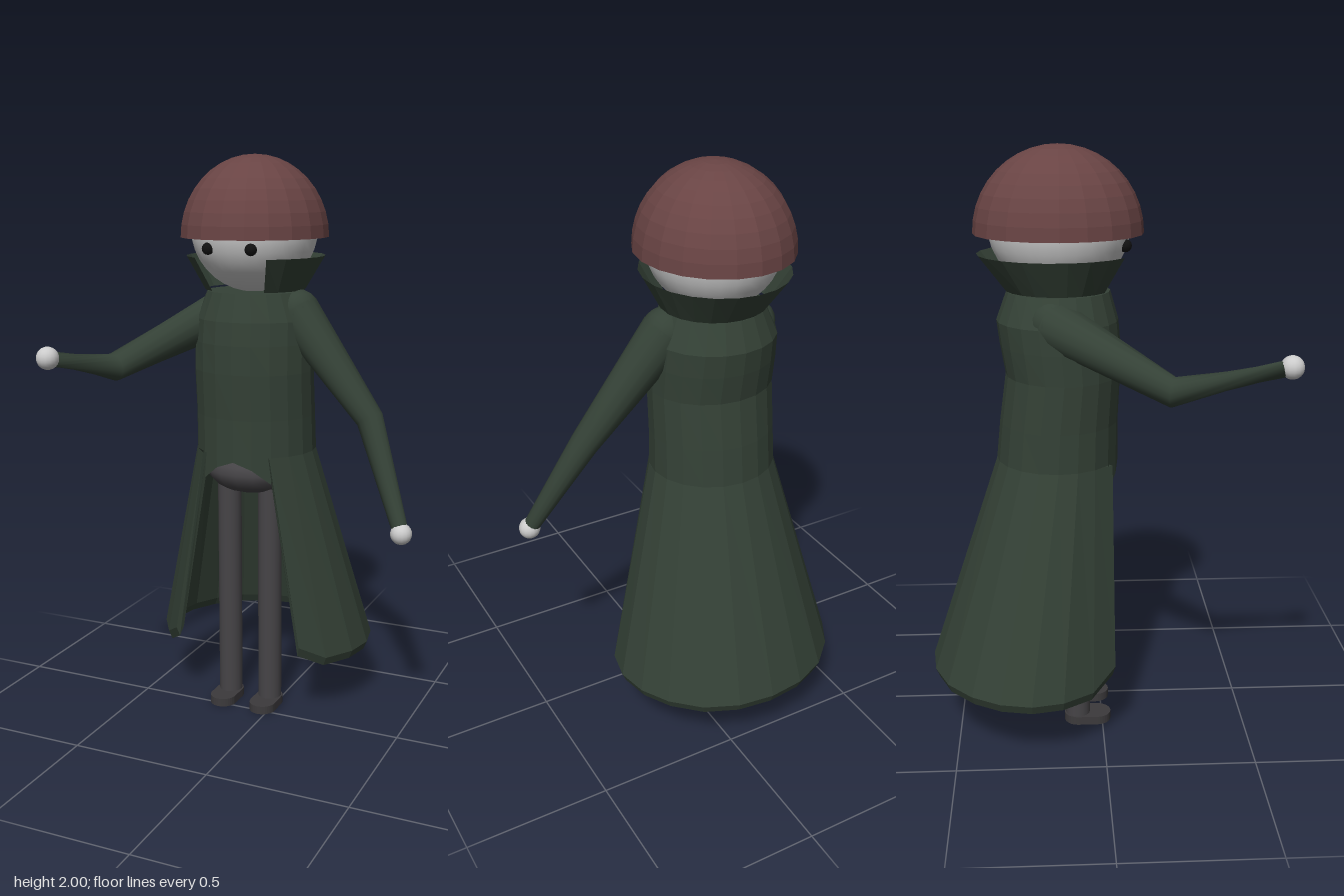
import * as THREE from 'three';

const CX = -0.105; // body axis
const V = (x, y, z) => new THREE.Vector3(x, y, z);
const mat = (color, flatShading = true, side = THREE.FrontSide) =>
  new THREE.MeshStandardMaterial({ color, flatShading, side });

const COAT = 0x344136, SKIN = 0xcccccc;
const coat = mat(COAT, true, THREE.DoubleSide);
const sleeve = mat(COAT, false);
const skin = mat(SKIN, false);
const helmetMat = mat(0x694444, true, THREE.DoubleSide);
const trousers = mat(0x464447, false);
const shoes = mat(0x3c3a3c);
const black = mat(0x111111, false);

// Skin rows of points (top to bottom, each running from +z round to +x)
function loft(rows, closed) {
  const n = rows[0].length, pos = [], idx = [];
  rows.forEach(r => r.forEach(p => pos.push(p.x, p.y, p.z)));
  for (let i = 0; i < rows.length - 1; i++)
    for (let j = 0; j < (closed ? n : n - 1); j++) {
      const k = (j + 1) % n, a = i * n + j, b = a + n, c = (i + 1) * n + k, d = i * n + k;
      idx.push(a, b, c, a, c, d);
    }
  const g = new THREE.BufferGeometry();
  g.setAttribute('position', new THREE.Float32BufferAttribute(pos, 3));
  g.setIndex(idx);
  g.computeVertexNormals();
  return g;
}

// Point on a body ring: half-width rx, front depth zf, back depth zb
const ringPoint = (a, y, rx, zf, zb) =>
  V(CX + rx * Math.sin(a), y, (zf + zb) / 2 + (zf - zb) / 2 * Math.cos(a));
const STEP = Math.PI / 10;
const ring = (y, rx, zf, zb) =>
  Array.from({ length: 20 }, (_, j) => ringPoint(j * STEP, y, rx, zf, zb));

// Tapered limb through points with mitred joints
function limb(points, radii, sides = 14) {
  const rows = points.map((p, i) => {
    const prev = points[Math.max(i - 1, 0)], next = points[Math.min(i + 1, points.length - 1)];
    const t0 = p.clone().sub(prev).normalize(), t1 = next.clone().sub(p).normalize();
    const t = t0.add(t1).normalize();
    const u = V(0, 0, 1).cross(t).cross(t).negate();
    if (u.lengthSq() < 0.05) u.copy(V(0, 1, 0)).addScaledVector(t, -t.y);
    u.normalize();
    const v = u.clone().cross(t);
    return Array.from({ length: sides }, (_, j) => {
      const a = j / sides * Math.PI * 2;
      return p.clone().addScaledVector(u, radii[i] * Math.cos(a)).addScaledVector(v, radii[i] * Math.sin(a));
    });
  });
  return loft(rows, true);
}

export function createModel() {
  const model = new THREE.Group();
  model.name = 'coatedFigure';
  const add = (name, geo, material, x = 0, y = 0, z = 0, parent = model) => {
    const m = new THREE.Mesh(geo, material);
    m.name = name;
    m.position.set(x, y, z);
    parent.add(m);
    return m;
  };

  // Head, eyes and domed helmet
  add('head', new THREE.SphereGeometry(0.22, 28, 18), skin, CX, 1.75, -0.135).scale.z = 1.06;
  for (const s of [-1, 1])
    add(s < 0 ? 'rightEye' : 'leftEye', new THREE.SphereGeometry(0.021, 12, 8), black, CX + s * 0.079, 1.688, 0.073);
  add('helmet', new THREE.SphereGeometry(1, 20, 10, 0, Math.PI * 2, 0, Math.PI / 2), helmetMat, CX, 1.72, -0.138)
    .scale.set(0.256, 0.28, 0.277);

  // Flared collar, open at the front
  const OPEN = 0.58, collarRow = (y, rx, zf, zb) => Array.from({ length: 19 }, (_, j) =>
    ringPoint(OPEN + j / 18 * (Math.PI * 2 - 2 * OPEN), y, rx, zf, zb));
  add('collar', loft([collarRow(1.656, 0.242, 0.11, -0.405), collarRow(1.54, 0.178, 0.035, -0.315)], false), coat);

  // Coat body
  add('coatBody', loft([
    ring(1.535, 0.005, -0.13, -0.14),
    ring(1.535, 0.17, 0.03, -0.31),
    ring(1.44, 0.212, 0.057, -0.345),
    ring(1.36, 0.216, 0.064, -0.335),
    ring(1.26, 0.216, 0.064, -0.318),
    ring(1.1, 0.216, 0.056, -0.34),
    ring(0.97, 0.218, 0.056, -0.353),
  ], true), coat);

  // Arched flap over the front opening
  const flapY = [0.875, 0.925, 0.95, 0.925, 0.875];
  const flapRow = f => flapY.map((y, j) => ringPoint((j - 2) * STEP, f(y), 0.218, 0.056, -0.353));
  add('coatFrontArch', loft([flapRow(() => 0.97), flapRow(y => y)], false), coat);

  // Flared coat skirt with thickness, split at the front
  const hemHalf = [[0.245, 0.037], [0.32, -0.04], [0.385, -0.14], [0.406, -0.245], [0.385, -0.35],
    [0.33, -0.445], [0.24, -0.53], [0.125, -0.58], [0, -0.595]];
  const hem = [...hemHalf, ...hemHalf.slice(0, 8).reverse().map(([x, z]) => [-x, z])];
  const isEnd = j => j === 0 || j === hem.length - 1;
  const hemRow = (k, y, yEnd) => hem.map(([x, z], j) =>
    V(CX + x * k, isEnd(j) ? yEnd : y, -0.22 + (z + 0.22) * k));
  const topRow = k => hem.map((_, j) => {
    const p = ringPoint((j + 2) * STEP, 0.97, 0.218 * k, -0.148 + 0.204 * k, -0.148 - 0.204 * k);
    if (isEnd(j)) p.z += 0.015;
    return p;
  });
  const outerTop = topRow(1), innerTop = topRow(0.88);
  const skirtRows = [outerTop, hemRow(1, 0.235, 0.29), hemRow(0.965, 0.203, 0.255), hemRow(0.92, 0.235, 0.29), innerTop];
  // Extra end columns collapse onto the middle of the thickness to close the split edges
  const closeEnd = j => {
    const t = outerTop[j].clone().lerp(innerTop[j], 0.5), h = skirtRows[2][j];
    return [t, h, h, h, t];
  };
  const first = closeEnd(0), last = closeEnd(hem.length - 1);
  add('coatSkirt', loft(skirtRows.map((r, i) => [first[i], ...r, last[i]]), false), coat);

  // Hips, legs and shoes
  add('hips', new THREE.SphereGeometry(1, 16, 10), trousers, CX, 0.895, -0.1).scale.set(0.165, 0.085, 0.135);
  const sole = new THREE.Shape();
  sole.absarc(0, -0.018, 0.048, 0, Math.PI, false);
  sole.absarc(0, -0.085, 0.048, Math.PI, Math.PI * 2, false);
  const shoeGeo = new THREE.ExtrudeGeometry(sole, { depth: 0.03, bevelEnabled: false, curveSegments: 8 });
  shoeGeo.rotateX(Math.PI / 2);
  for (const s of [-1, 1]) {
    const side = s < 0 ? 'right' : 'left', x = CX + s * 0.08;
    add(side + 'Leg', new THREE.CylinderGeometry(0.043, 0.043, 0.85, 16), trousers, x, 0.445, -0.086);
    add(side + 'Shoe', shoeGeo, shoes, x, 0.03, 0);
  }

  // Arms: a rounded shoulder, an elbow and a wrist, with a ball hand
  const arms = {
    right: [V(-0.24, 1.45, -0.16), V(-0.487, 1.285, 0.2), V(-0.514, 1.365, 0.555)],
    left: [V(0.06, 1.465, -0.125), V(0.345, 1.115, -0.092), V(0.505, 0.762, 0.035)],
  };
  for (const [side, [shoulder, elbow, hand]] of Object.entries(arms)) {
    const arm = new THREE.Group();
    arm.name = side + 'Arm';
    model.add(arm);
    add(side + 'Sleeve', limb([shoulder, elbow, hand], [0.082, 0.048, 0.027]), sleeve, 0, 0, 0, arm);
    add(side + 'Shoulder', new THREE.SphereGeometry(0.081, 14, 10), sleeve, ...shoulder.toArray(), arm);
    add(side + 'Hand', new THREE.SphereGeometry(0.037, 16, 12), skin, ...hand.toArray(), arm);
  }

  return model;
}
